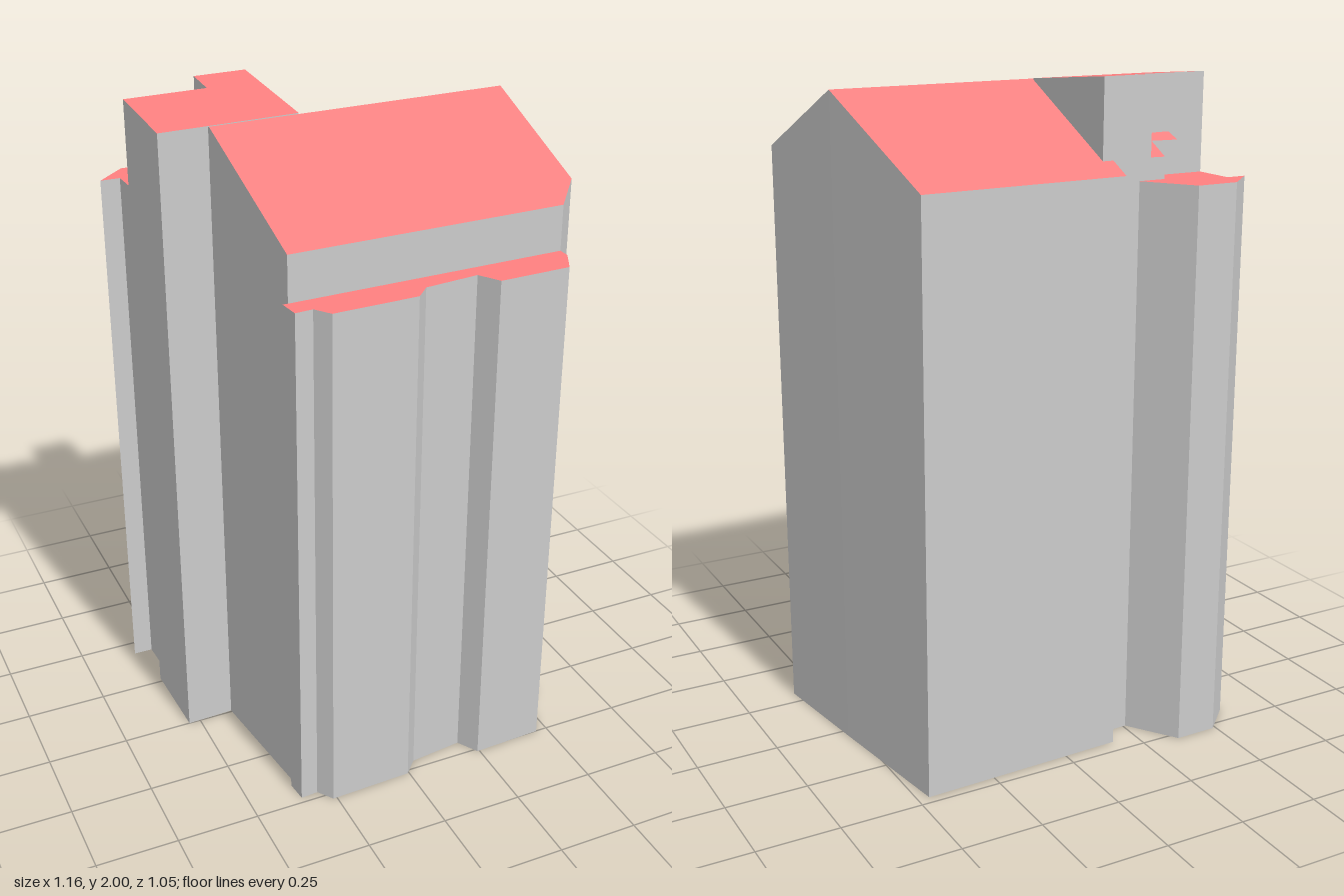
import * as THREE from 'three';

const wallMat = new THREE.MeshStandardMaterial({ color: 0xcccccc, flatShading: true });
const roofMat = new THREE.MeshStandardMaterial({ color: 0xff8080, flatShading: true });

// Puts an [x, z] outline into one consistent winding
function contour(points) {
  const v = points.map(([x, z]) => new THREE.Vector2(x, z));
  return THREE.ShapeUtils.isClockWise(v) ? v.reverse() : v;
}

function makeMesh(name, positions, material) {
  const geometry = new THREE.BufferGeometry();
  geometry.setAttribute('position', new THREE.Float32BufferAttribute(positions, 3));
  geometry.computeVertexNormals();
  const mesh = new THREE.Mesh(geometry, material);
  mesh.name = name;
  return mesh;
}

// Vertical walls over a footprint, closed below, topped by roof faces at height(x, z)
function buildVolume(name, outline, height, roofs = [outline]) {
  const walls = [], roof = [];
  const put = (list, p, y) => list.push(p.x, y, p.y);
  const top = (p) => height(p.x, p.y);

  const base = contour(outline);
  base.forEach((a, i) => {
    const b = base[(i + 1) % base.length];
    put(walls, b, 0); put(walls, a, 0); put(walls, a, top(a));
    put(walls, b, 0); put(walls, a, top(a)); put(walls, b, top(b));
  });
  for (const tri of THREE.ShapeUtils.triangulateShape(base, []))
    for (const i of tri) put(walls, base[i], 0);

  for (const piece of roofs) {
    const c = contour(piece);
    for (const [i, j, k] of THREE.ShapeUtils.triangulateShape(c, []))
      for (const n of [i, k, j]) put(roof, c[n], top(c[n]));
  }

  const group = new THREE.Group();
  group.name = name;
  group.add(makeMesh(name + 'Walls', walls, wallMat), makeMesh(name + 'Roof', roof, roofMat));
  return group;
}

export function createModel() {
  const model = new THREE.Group();
  model.name = 'building';

  // Main block with a gable roof; the ridge runs slightly askew along x
  const ridgeLeft = [-0.39, 0], ridgeRight = [0.53, -0.032];
  const gable = (x, z) => {
    const d = z + 0.0136 + 0.0348 * x;
    return 1.965 - (d > 0 ? 0.55 * d : -0.52 * d);
  };
  const frontEdge = [[0.577, 0.307], [0.505, 0.385], [-0.34, 0.415]];
  const backEdge = [
    [-0.425, -0.272], [-0.43, -0.31], [-0.342, -0.31], [-0.342, -0.38],
    [-0.168, -0.38], [-0.17, -0.45], [0.465, -0.472],
  ];
  model.add(buildVolume('mainBlock',
    [ridgeLeft, ...backEdge, ridgeRight, ...frontEdge], gable,
    [[ridgeLeft, ridgeRight, ...frontEdge], [ridgeLeft, ...backEdge, ridgeRight]]));

  // Stair tower with a shallow roof rising to the back
  model.add(buildVolume('stairTower', [
    [-0.537, 0], [-0.12, -0.015], [-0.133, -0.385],
    [-0.295, -0.38], [-0.293, -0.277], [-0.545, -0.268],
  ], (x, z) => 1.965 - 0.092 * z));

  // Lower turret at the back corner
  model.add(buildVolume('cornerTurret', [
    [-0.58, -0.437], [-0.49, -0.523], [-0.36, -0.525], [-0.257, -0.38],
    [-0.342, -0.38], [-0.342, -0.31], [-0.515, -0.31], [-0.52, -0.437],
  ], () => 1.705));

  // Bay windows along the front
  model.add(buildVolume('frontBays', [
    [-0.355, 0.415], [-0.348, 0.48], [-0.295, 0.476], [-0.262, 0.523],
    [-0.005, 0.513], [0.038, 0.467], [0.205, 0.447], [0.243, 0.51],
    [0.463, 0.501], [0.505, 0.422], [0.505, 0.385],
  ], () => 1.6));

  return model;
}
